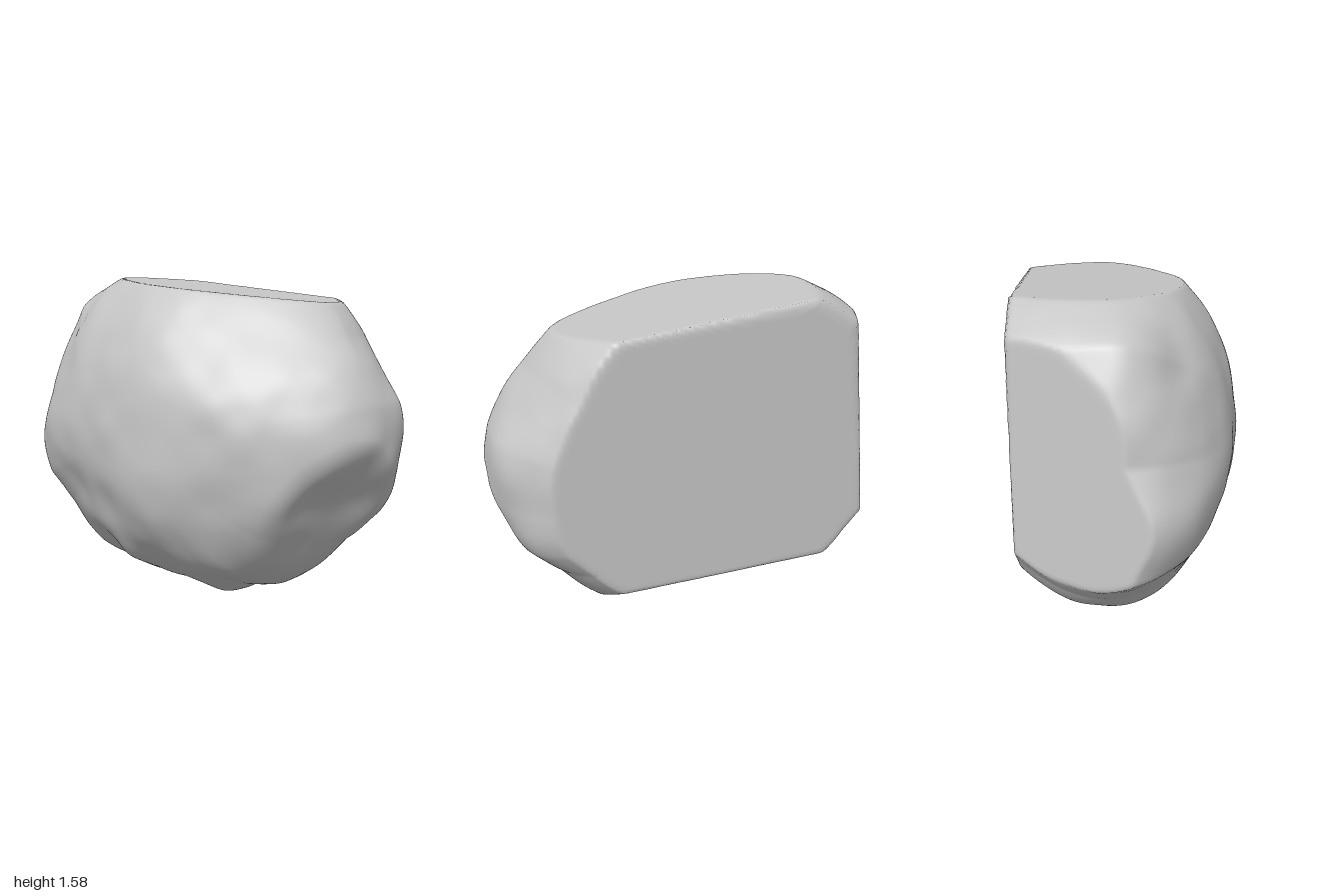
import * as THREE from 'three';
import { mergeVertices } from 'three/addons/utils/BufferGeometryUtils.js';

const CENTRE = new THREE.Vector3(0, 0.8, -0.1);

// widest outline of the boulder, [x, y]
const OUTLINE = [
  [1, 0.85], [0.98, 1.0], [0.92, 1.13], [0.81, 1.3], [0.68, 1.46], [0.4, 1.64], [0, 1.7], [-0.3, 1.66],
  [-0.5, 1.6], [-0.63, 1.54], [-0.77, 1.46], [-0.87, 1.25], [-0.93, 1.0], [-1, 0.8], [-1.01, 0.47],
  [-0.9, 0.38], [-0.8, 0.29], [-0.7, 0.17], [-0.6, 0.1], [-0.35, 0.07], [-0.1, 0.04], [0.08, 0.03],
  [0.22, 0], [0.36, 0.07], [0.5, 0.09], [0.63, 0.18], [0.76, 0.32], [0.91, 0.46], [0.99, 0.67],
].map(([x, y]) => ({ a: Math.atan2(y - 0.8, x), r: Math.hypot(x, y - 0.8) })).sort((p, q) => p.a - q.a);

// cuts: normal, a point on the plane, softness of the edge
const CUTS = [
  [[0, 0, -1], [0, 0.8, -0.53], 0.01],              // back
  [[0.11, 1, 0], [0, 1.525, 0], 0.01],              // top
  [[0, -1, -0.56], [0, 0, -0.03], 0.01],            // lower back
  [[-1, 0.1, -0.49], [-1, 0.47, 0], 0.01],          // right rear
  [[0.3, 0.42, 0.5], [0.42, 1.48, 0.12], 0.16],     // upper left front slope
  [[0, -0.65, 0.76], [0, 0.46, 0.53], 0.06],        // lower front
  [[0.095, -0.059, 0.043], [0.93, 0.8, 0.12], 0.04], // lower left flank
].map(([n, p, soft]) => ({
  soft,
  plane: new THREE.Plane().setFromNormalAndCoplanarPoint(
    new THREE.Vector3(...n).normalize(), new THREE.Vector3(...p)),
}));

// local knobs and hollows: x, y, z, height, radius
const BUMPS = [
  [-0.65, 1.4, -0.05, 0.02, 0.14], [-0.65, 1.33, 0.17, -0.035, 0.14],
  [-0.95, 0.72, 0.1, 0.045, 0.17], [-0.75, 0.78, 0.28, 0.035, 0.2],
  [-0.5, 0.48, 0.4, -0.03, 0.15], [-0.2, 0.46, 0.45, -0.02, 0.12],
  [0.1, 0.52, 0.5, 0.025, 0.2], [-0.18, 0.2, 0.3, 0.025, 0.1], [-0.38, 0.2, 0.27, -0.025, 0.12],
  [0.88, 0.82, 0.12, 0.025, 0.16], [0.6, 0.42, 0.25, 0.02, 0.18], [0.35, 0.25, 0.25, 0.015, 0.15],
  [0.95, 0.9, -0.3, 0.03, 0.18], [0.85, 0.55, -0.42, 0.025, 0.13],
];

// outline radius, calmer near the front and back poles
function outlineRadius(a, rho) {
  const n = OUTLINE.length;
  const i = Math.max(0, OUTLINE.findIndex((o) => o.a > a));
  const p = OUTLINE[(i + n - 1) % n], q = OUTLINE[i];
  const wrap = (v) => (v + Math.PI * 4) % (Math.PI * 2);
  const sharp = THREE.MathUtils.lerp(p.r, q.r, wrap(a - p.a) / wrap(q.a - p.a));
  const calm = 1 / Math.hypot(Math.cos(a) / 0.97, Math.sin(a) / (a > 0 ? 0.88 : 0.79));
  return THREE.MathUtils.lerp(calm, sharp, rho ** 3);
}

// half depth: the back stays full towards its upper right shoulder
function halfDepth(a, z) {
  if (z > 0) return 0.62;
  return 0.75 + 0.6 * Math.max(0, -0.4 * Math.cos(a) + 0.92 * Math.sin(a)) ** 2;
}

// minimum with a rounded transition of width k
function softMin(a, b, k) {
  const h = Math.max(0, k - Math.abs(a - b)) / k;
  return Math.min(a, b) - h * h * k / 4;
}

// smooth seeded value noise in -1..1
function hash(x, y, z) {
  const s = Math.sin(x * 127.1 + y * 311.7 + z * 74.7 + 5.3) * 43758.5453;
  return (s - Math.floor(s)) * 2 - 1;
}
function noise(x, y, z) {
  const f = [x, y, z].map(Math.floor);
  const [u, v, w] = [x - f[0], y - f[1], z - f[2]].map((t) => t * t * (3 - 2 * t));
  let sum = 0;
  for (let k = 0; k < 8; k++) {
    const i = k & 1, j = (k >> 1) & 1, l = k >> 2;
    sum += hash(f[0] + i, f[1] + j, f[2] + l) * (i ? u : 1 - u) * (j ? v : 1 - v) * (l ? w : 1 - w);
  }
  return sum;
}

function boulderGeometry() {
  let geo = new THREE.IcosahedronGeometry(1, 60);
  geo.deleteAttribute('normal');
  geo.deleteAttribute('uv');
  geo = mergeVertices(geo, 1e-5);
  const pos = geo.attributes.position;
  const d = new THREE.Vector3(), p = new THREE.Vector3(), ray = new THREE.Vector3();

  // shorten a ray from the centre where it leaves the given cuts
  const slice = (cuts) => {
    let keep = 1;
    for (const { plane, soft } of cuts) {
      const along = plane.normal.dot(ray);
      if (along > 0) keep = softMin(keep, -plane.distanceToPoint(CENTRE) / along, soft);
    }
    ray.multiplyScalar(keep);
  };

  for (let i = 0; i < pos.count; i++) {
    d.fromBufferAttribute(pos, i);
    const rho = Math.hypot(d.x, d.y);
    const a = Math.atan2(d.y, d.x);
    const r = outlineRadius(a, rho) * rho;
    ray.set(Math.cos(a) * r, Math.sin(a) * r, d.z * halfDepth(a, d.z));
    slice(CUTS.slice(4));

    // weathered surface
    p.copy(CENTRE).add(ray);
    let h = 0.012 * noise(p.x * 3.5, p.y * 3.5, p.z * 3.5) + 0.006 * noise(p.x * 7 + 9, p.y * 7, p.z * 7);
    for (const [x, y, z, height, radius] of BUMPS) {
      h += height * Math.exp(-((p.x - x) ** 2 + (p.y - y) ** 2 + (p.z - z) ** 2) / radius ** 2);
    }
    ray.multiplyScalar(1 + h / ray.length());

    // clean flat faces
    slice(CUTS.slice(0, 4));
    p.copy(CENTRE).add(ray);
    pos.setXYZ(i, p.x, p.y, p.z);
  }

  // stand it on the ground, centred
  geo.computeBoundingBox();
  const mid = geo.boundingBox.getCenter(new THREE.Vector3());
  geo.translate(-mid.x, -geo.boundingBox.min.y, -mid.z);
  geo.computeVertexNormals();
  return geo;
}

export function createModel() {
  const stone = new THREE.MeshStandardMaterial({ color: 0xc6c6c6 });
  stone.name = 'grey stone';
  const boulder = new THREE.Mesh(boulderGeometry(), stone);
  boulder.name = 'boulder';
  const group = new THREE.Group();
  group.name = 'rock';
  group.add(boulder);
  return group;
}
